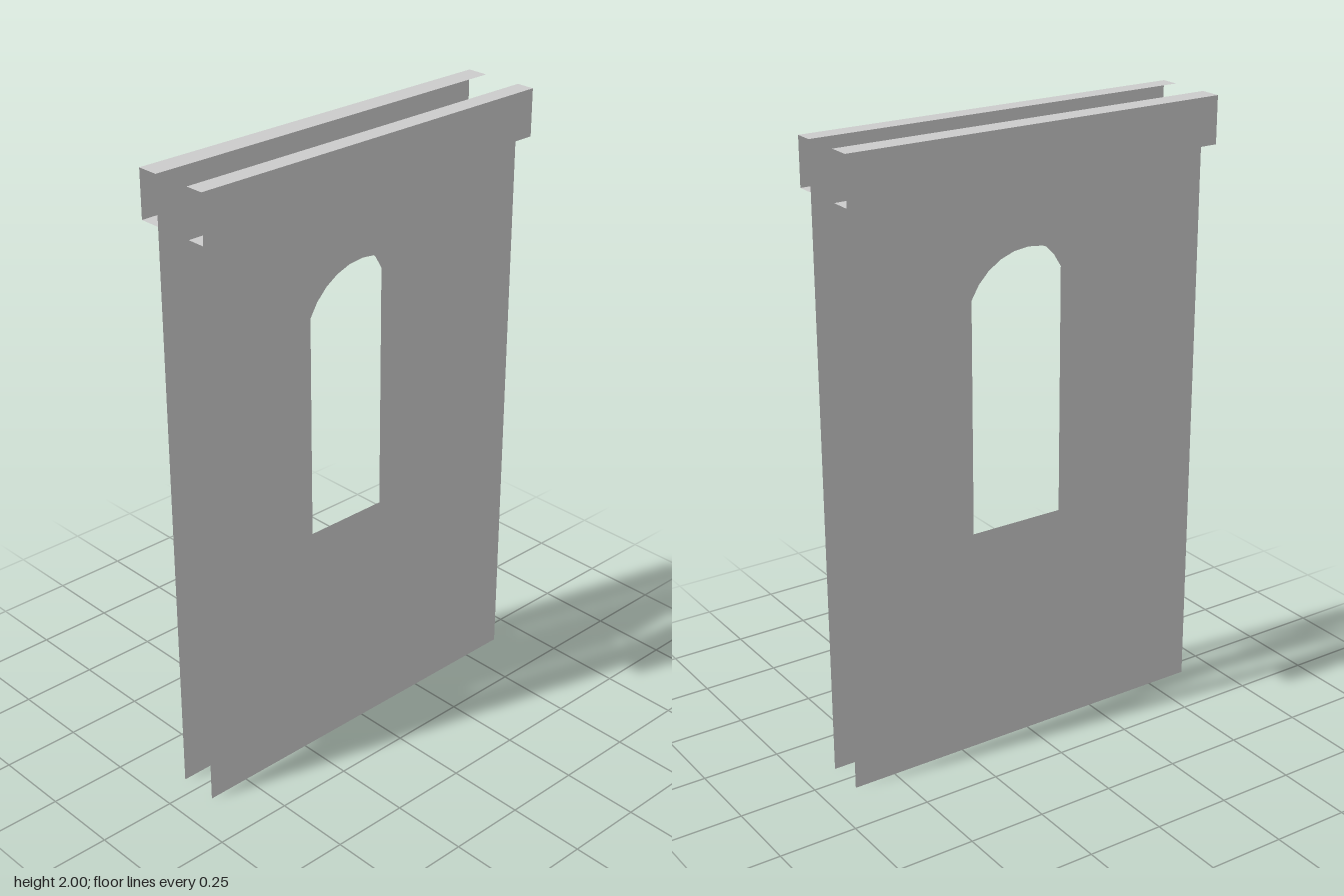
import * as THREE from 'three';

const material = new THREE.MeshStandardMaterial({ color: 0xcccccc, side: THREE.DoubleSide });
const HALF_W = 0.64;

// Thin wall sheet with an arched window opening
function wallPanel(name, z, left, right, back) {
  const top = 1.92, sill = 0.67, spring = 1.49, apex = 1.62;
  const shape = new THREE.Shape([
    new THREE.Vector2(-HALF_W, 0), new THREE.Vector2(HALF_W, 0),
    new THREE.Vector2(HALF_W, top), new THREE.Vector2(-HALF_W, top),
  ]);
  const half = (right - left) / 2, rise = apex - spring;
  const radius = (half * half + rise * rise) / (2 * rise);
  const angle = Math.asin(half / radius);
  const points = [new THREE.Vector2(right, sill), new THREE.Vector2(left, sill)];
  const steps = 10;
  for (let i = 0; i <= steps; i++) {
    const a = -angle + (2 * angle * i) / steps;
    points.push(new THREE.Vector2(
      (left + right) / 2 + radius * Math.sin(a),
      apex - radius + radius * Math.cos(a)));
  }
  shape.holes.push(new THREE.Path(points));
  const geometry = new THREE.ShapeGeometry(shape);
  if (back) geometry.rotateY(Math.PI);
  const mesh = new THREE.Mesh(geometry, material);
  mesh.name = name;
  mesh.position.z = z;
  return mesh;
}

// Open-ended cornice: a face with a top and a bottom ledge
function cornice(name, inner, outer) {
  const group = new THREE.Group();
  group.name = name;
  const low = 1.85, high = 2, side = Math.sign(outer);
  const depth = Math.abs(outer - inner), mid = (inner + outer) / 2;
  const add = (part, height, rx, ry, y, z) => {
    const mesh = new THREE.Mesh(new THREE.PlaneGeometry(2 * HALF_W, height), material);
    mesh.name = part;
    mesh.rotation.set(rx, ry, 0);
    mesh.position.set(0, y, z);
    group.add(mesh);
  };
  add('corniceFace', high - low, 0, side > 0 ? 0 : Math.PI, (low + high) / 2, outer);
  add('corniceTop', depth, -Math.PI / 2, 0, high, mid);
  add('corniceUnderside', depth, Math.PI / 2, 0, low, mid);
  return group;
}

export function createModel() {
  const model = new THREE.Group();
  model.name = 'windowWall';
  model.add(
    wallPanel('frontWall', 0.07, -0.21, 0.2, false),
    wallPanel('backWall', -0.06, -0.2, 0.2, true),
    cornice('frontCornice', 0.07, 0.13),
    cornice('backCornice', -0.06, -0.13),
  );
  return model;
}
